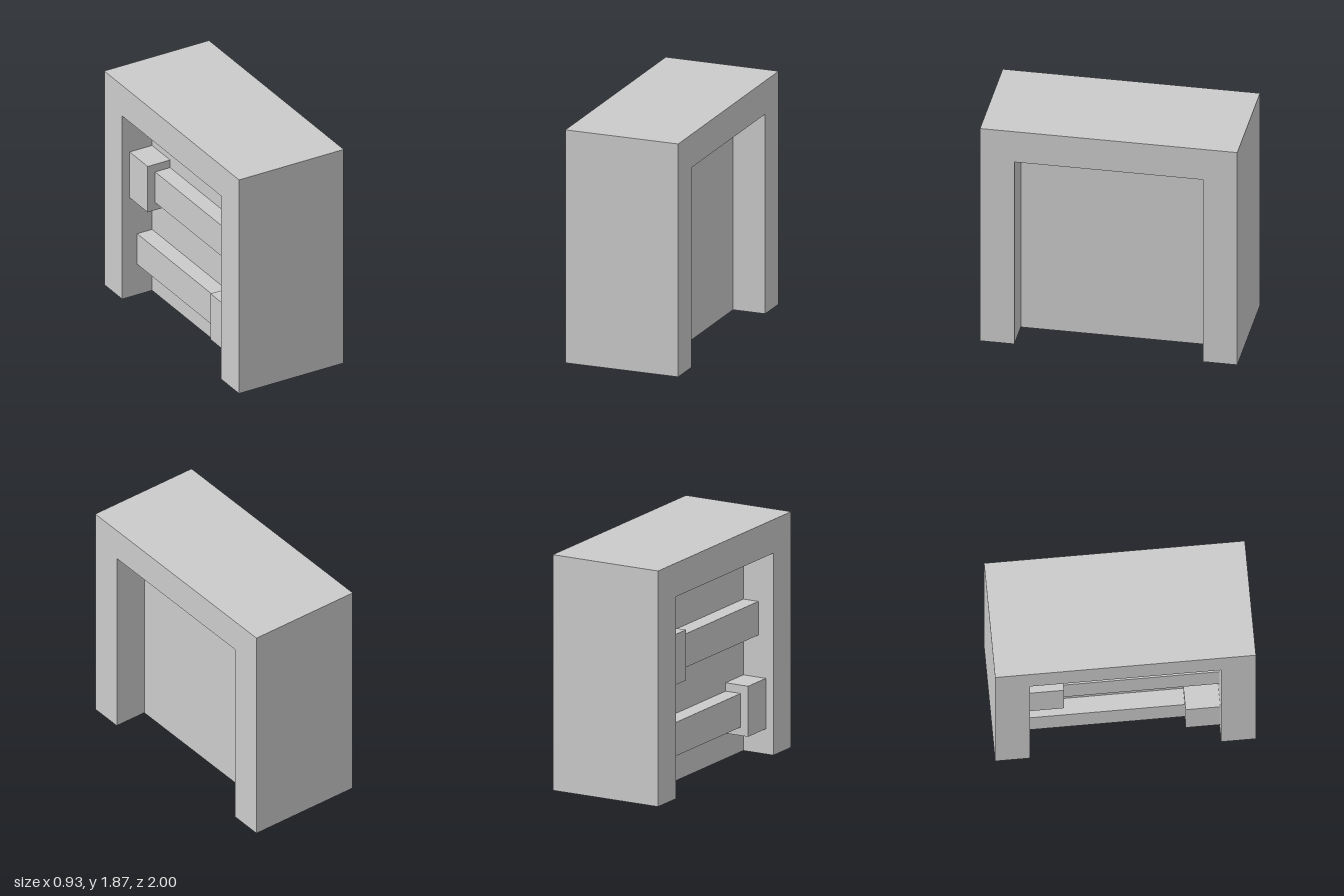
import * as THREE from 'three';

// One module of the design grid: the model is 7 x 14 x 15 modules
const U = 2 / 15;

export function createModel() {
  const model = new THREE.Group();
  model.name = 'barredDoor';
  const material = new THREE.MeshStandardMaterial({ color: 0xcccccc, flatShading: true });

  const add = (name, geometry) => {
    const mesh = new THREE.Mesh(geometry, material);
    mesh.name = name;
    model.add(mesh);
  };

  // Box from ranges given in modules: [min, max] along x, y and z
  const addBox = (name, x, y, z) => {
    const geometry = new THREE.BoxGeometry((x[1] - x[0]) * U, (y[1] - y[0]) * U, (z[1] - z[0]) * U);
    geometry.translate((x[0] + x[1]) * U / 2, (y[0] + y[1]) * U / 2, (z[0] + z[1]) * U / 2);
    add(name, geometry);
  };

  // Thick frame: an upside-down U, extruded through the wall depth
  const outline = [[-7.5, 0], [-5.5, 0], [-5.5, 12], [5.5, 12], [5.5, 0], [7.5, 0], [7.5, 14], [-7.5, 14]];
  const shape = new THREE.Shape(outline.map(([z, y]) => new THREE.Vector2(z * U, y * U)));
  const frame = new THREE.ExtrudeGeometry(shape, { depth: 7 * U, bevelEnabled: false });
  frame.translate(0, 0, -3.5 * U);
  frame.rotateY(-Math.PI / 2);
  add('frame', frame);

  // Door panel, recessed equally on both sides
  addBox('doorPanel', [-1.5, 1.5], [0, 12], [-5.5, 5.5]);

  // Two bars on the -x side, each held by a bracket at opposite ends
  const bars = [
    { name: 'upper', y: 8, end: -1 },
    { name: 'lower', y: 3, end: 1 },
  ];
  for (const { name, y, end } of bars) {
    const span = (a, b) => [a * end, b * end].sort((p, q) => p - q);
    addBox(name + 'Bar', [-2.5, -1.5], [y - 1, y + 1], span(-5.5, 3.5));
    addBox(name + 'Bracket', [-3, -1.5], [y - 1.5, y + 1.5], span(3.5, 5.5));
  }

  return model;
}
